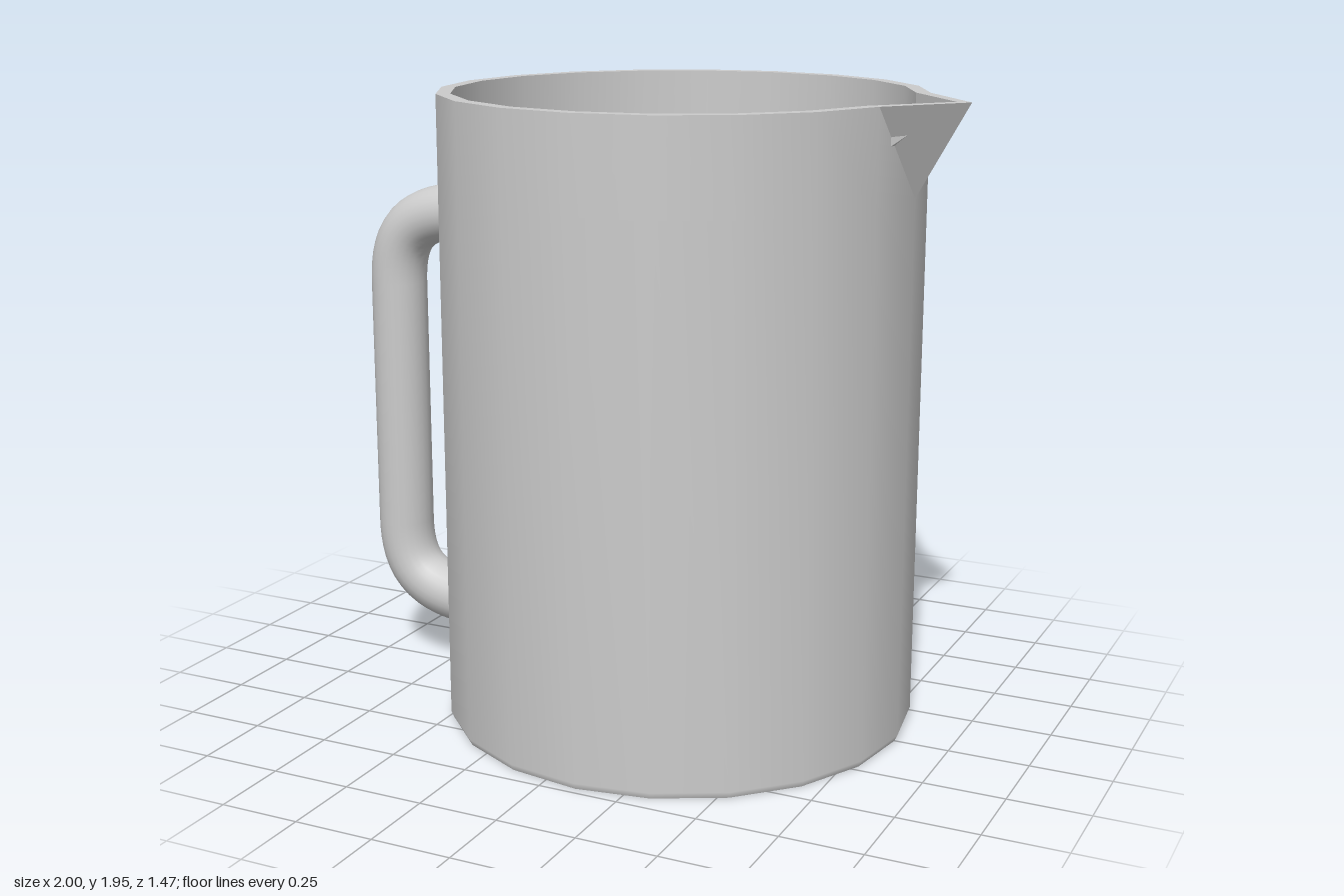
import * as THREE from 'three';

const SIDES = 20, CX = 0.105, TOP = 1.95, R_OUT = 0.733, R_IN = 0.69, FLOOR = 0.04;
const grey = new THREE.MeshStandardMaterial({ color: 0xcccccc });
const greyDouble = new THREE.MeshStandardMaterial({ color: 0xcccccc, side: THREE.DoubleSide });

function rimPoint(r, y, i) {
  const a = (i / SIDES) * Math.PI * 2;
  return [CX + r * Math.cos(a), y, r * Math.sin(a)];
}

function mesh(name, points, index, material = grey) {
  let g = new THREE.BufferGeometry();
  g.setAttribute('position', new THREE.Float32BufferAttribute(points.flat(), 3));
  if (index) g.setIndex(index);
  g.computeVertexNormals();
  const m = new THREE.Mesh(g, material);
  m.name = name;
  return m;
}

// Smooth wall through rings [radius, y]; the two columns at the spout stay open in the last band.
function wall(name, rings, inward, halfSpout) {
  const points = [], index = [];
  rings.forEach(([r, y]) => { for (let i = 0; i < SIDES; i++) points.push(rimPoint(r, y, i)); });
  const tri = (a, b, c) => (inward ? index.push(a, c, b) : index.push(a, b, c));
  for (let k = 0; k < rings.length - 1; k++) {
    for (let i = 0; i < SIDES; i++) {
      const j = (i + 1) % SIDES;
      const a = k * SIDES + i, b = k * SIDES + j, c = b + SIDES, d = a + SIDES;
      const last = k === rings.length - 2;
      if (last && i === 0) {
        if (halfSpout) tri(a, c, b);
      } else if (last && j === 0) {
        if (halfSpout) tri(a, d, b);
      } else {
        tri(a, d, c);
        tri(a, c, b);
      }
    }
  }
  if (inward) { // floor shares its edge with the wall, so the shading runs on
    points.push([CX, rings[0][1], 0]);
    const centre = points.length - 1;
    for (let i = 0; i < SIDES; i++) index.push(centre, (i + 1) % SIDES, i);
  }
  return mesh(name, points, index);
}

export function createModel() {
  const model = new THREE.Group();
  model.name = 'jug';
  const tipOut = [0.995, TOP, 0], tipIn = [0.95, TOP, 0];

  // Body
  model.add(wall('outerWall', [[0.724, 0], [R_OUT, 0.02], [R_OUT, 1.67], [R_OUT, TOP]], false, true));
  model.add(wall('innerWallAndFloor', [[R_IN, FLOOR], [R_IN, 1.79], [R_IN, TOP]], true, false));
  const base = new THREE.Mesh(new THREE.CircleGeometry(0.724, SIDES), grey);
  base.name = 'base';
  base.rotation.x = Math.PI / 2;
  base.position.x = CX;
  model.add(base);

  // Flat rim, drawn out to a point at the spout
  const rim = [];
  for (let i = 0; i < SIDES; i++) {
    const j = (i + 1) % SIDES;
    const o = (n) => (n === 0 ? tipOut : rimPoint(R_OUT, TOP, n));
    const p = (n) => (n === 0 ? tipIn : rimPoint(R_IN, TOP, n));
    rim.push(o(i), p(i), p(j), o(i), p(j), o(j));
  }
  model.add(mesh('rim', rim));

  // Spout: outer facets, then the pouring lip inside
  const outer = [], inner = [];
  for (const s of [1, -1]) {
    const add = (list, a, b, c) => (s > 0 ? list.push(a, b, c) : list.push(a, c, b));
    add(outer, rimPoint(R_OUT, 1.67, 0), tipOut, rimPoint(R_OUT, TOP, s));
    const low = rimPoint(R_IN, 1.79, s);
    add(inner, tipIn, low, rimPoint(R_IN, TOP, s));
    add(inner, tipIn, rimPoint(R_IN, 1.79, 0), low);
  }
  model.add(mesh('spoutOutside', outer));
  model.add(mesh('spoutInside', inner, null, greyDouble));

  // Handle: round tube with two soft bends
  const v = (x, y) => new THREE.Vector3(x, y, 0);
  const path = new THREE.CurvePath();
  path.add(new THREE.CubicBezierCurve3(v(-0.6, 1.54), v(-0.83, 1.535), v(-0.91, 1.47), v(-0.91, 1.29)));
  path.add(new THREE.LineCurve3(v(-0.91, 1.29), v(-0.91, 0.48)));
  path.add(new THREE.CubicBezierCurve3(v(-0.91, 0.48), v(-0.91, 0.3), v(-0.83, 0.235), v(-0.6, 0.23)));
  const handle = new THREE.Mesh(new THREE.TubeGeometry(path, 64, 0.09, 24), grey);
  handle.name = 'handle';
  model.add(handle);

  return model;
}
